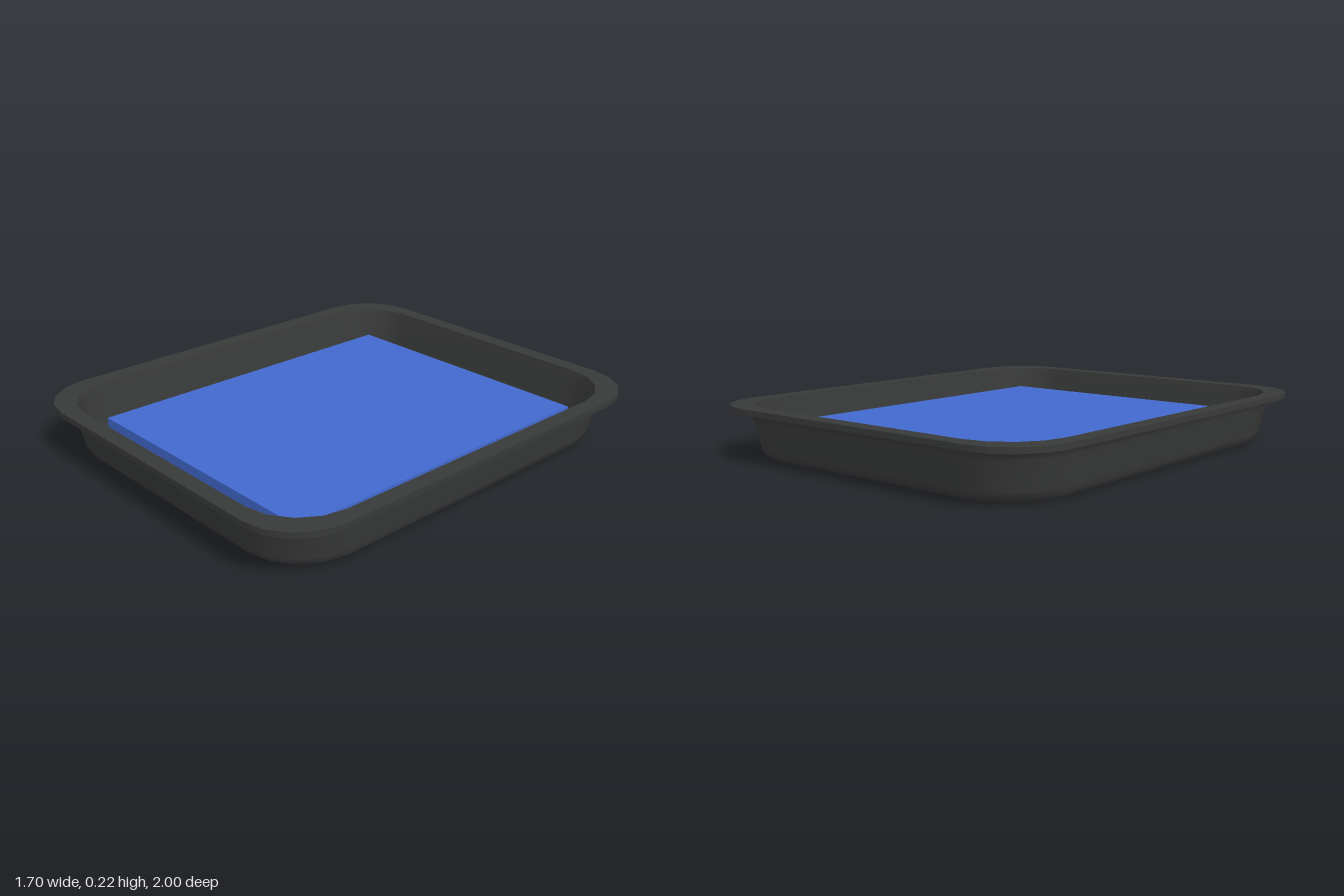
import * as THREE from 'three';

const CORNER = 0.25, STEPS = 4, EXTRA_LENGTH = 0.15;

// Rounded rectangle outline with half width hx at height y
function ring(hx, y) {
  const r = Math.min(CORNER, hx), hz = hx + EXTRA_LENGTH, points = [];
  for (let q = 0; q < 4; q++) {
    const sx = q === 0 || q === 3 ? 1 : -1, sz = q < 2 ? 1 : -1;
    for (let i = 0; i <= STEPS; i++) {
      const a = (q + i / STEPS) * Math.PI / 2;
      points.push(sx * (hx - r) + r * Math.cos(a), y, sz * (hz - r) + r * Math.sin(a));
    }
  }
  return points;
}

// Smooth skin through a profile of [half width, height] pairs
function loft(profile) {
  const n = 4 * (STEPS + 1), index = [];
  const positions = profile.flatMap(([hx, y]) => ring(hx, y));
  for (let j = 0; j < profile.length - 1; j++) {
    for (let i = 0; i < n; i++) {
      const a = j * n + i, b = j * n + (i + 1) % n;
      index.push(a, a + n, b, b, a + n, b + n);
    }
  }
  const geometry = new THREE.BufferGeometry();
  geometry.setAttribute('position', new THREE.Float32BufferAttribute(positions, 3));
  geometry.setIndex(index);
  geometry.computeVertexNormals();
  return geometry;
}

export function createModel() {
  const model = new THREE.Group();
  const trayMaterial = new THREE.MeshStandardMaterial({ color: 0x383a39 });
  const padMaterial = new THREE.MeshStandardMaterial({ color: 0x4169cd });

  // Tray skins, split where the edges are sharp
  const skins = {
    trayBottom: [[0, 0], [0.72, 0]],
    trayOuterWall: [[0.72, 0], [0.745, 0.008], [0.762, 0.025], [0.768, 0.05], [0.786, 0.16],
      [0.792, 0.182], [0.804, 0.195], [0.82, 0.2]],
    rimUnderside: [[0.82, 0.2], [0.85, 0.2]],
    rimEdge: [[0.85, 0.2], [0.85, 0.223]],
    rimTop: [[0.85, 0.223], [0.78, 0.223]],
    trayInnerWall: [[0.78, 0.223], [0.772, 0.19], [0.752, 0.07], [0.745, 0.045], [0.728, 0.028], [0.7, 0.02]],
    trayFloor: [[0.7, 0.02], [0, 0.02]],
  };
  const tray = new THREE.Group();
  tray.name = 'tray';
  for (const [name, profile] of Object.entries(skins)) {
    const mesh = new THREE.Mesh(loft(profile), trayMaterial);
    mesh.name = name;
    tray.add(mesh);
  }
  model.add(tray);

  // Block lying in the tray, slightly off centre
  const pad = new THREE.Mesh(new THREE.BoxGeometry(1.25, 0.115, 1.54), padMaterial);
  pad.name = 'pad';
  pad.position.set(0.025, 0.0785, 0.02);
  model.add(pad);

  return model;
}
